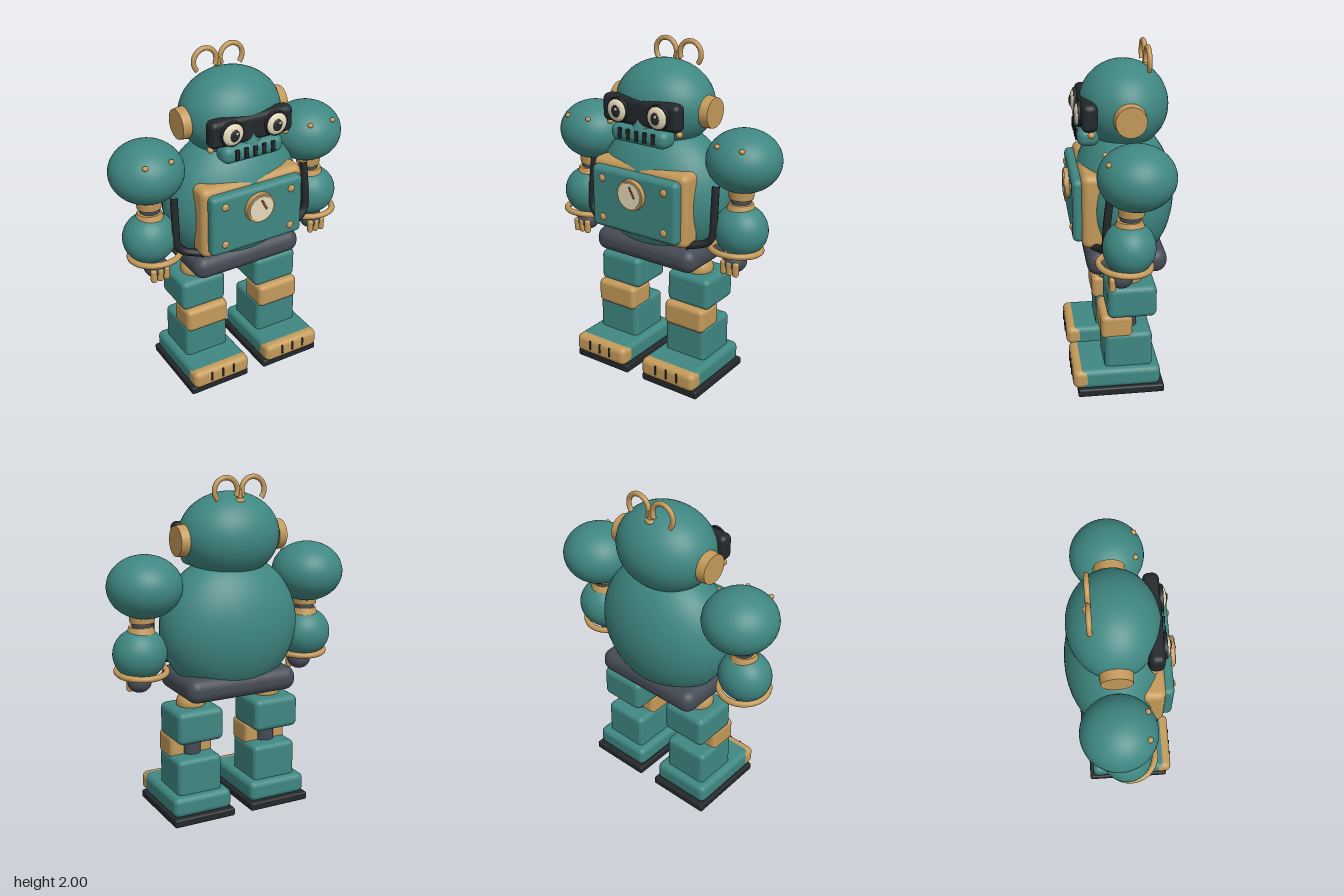
import * as THREE from 'three';
import { RoundedBoxGeometry } from 'three/addons/geometries/RoundedBoxGeometry.js';

const mat = (color) => new THREE.MeshStandardMaterial({ color });
const teal = mat(0x3f8782), tan = mat(0xc49a5a), slate = mat(0x454b55);
const black = mat(0x24282b), cream = mat(0xe6dabb), red = mat(0x8a4a35);

export function createModel() {
  const model = new THREE.Group();

  const add = (name, geometry, material, x, y, z, parent = model) => {
    const mesh = new THREE.Mesh(geometry, material);
    mesh.name = name;
    mesh.position.set(x, y, z);
    parent.add(mesh);
    return mesh;
  };
  // rounded box given by its centre and size
  const box = (name, m, x, y, z, w, h, d, r, parent) =>
    add(name, new RoundedBoxGeometry(w, h, d, 4, r), m, x, y, z, parent);
  const ball = (name, m, x, y, z, rx, ry, rz, parent) => {
    const mesh = add(name, new THREE.SphereGeometry(1, 40, 28), m, x, y, z, parent);
    mesh.scale.set(rx, ry, rz);
    return mesh;
  };
  const cylinder = (name, m, x, y, z, rTop, rBottom, h, parent) =>
    add(name, new THREE.CylinderGeometry(rTop, rBottom, h, 32), m, x, y, z, parent);
  // disc facing the front
  const disc = (name, m, x, y, z, r, depth, parent) => {
    const mesh = cylinder(name, m, x, y, z, r * 0.94, r, depth, parent);
    mesh.rotation.x = Math.PI / 2;
    return mesh;
  };

  // Torso and waist
  ball('torso', teal, 0, 1.13, -0.03, 0.425, 0.415, 0.292);
  box('waist', slate, 0, 0.803, -0.02, 0.7, 0.145, 0.46, 0.065);

  // Chest panel with gauge
  const panel = new THREE.Group();
  panel.name = 'chestPanel';
  model.add(panel);
  box('panelFrame', tan, 0, 1.118, 0.165, 0.655, 0.435, 0.14, 0.04, panel);
  box('panelPlate', teal, 0, 1.118, 0.235, 0.595, 0.37, 0.1, 0.03, panel);
  disc('gaugeRim', tan, 0, 1.183, 0.29, 0.093, 0.04, panel);
  disc('gaugeFace', cream, 0, 1.183, 0.298, 0.08, 0.034, panel);
  const needle = box('gaugeNeedle', red, 0.018, 1.205, 0.316, 0.012, 0.072, 0.006, 0.002, panel);
  needle.rotation.z = 0.5;
  for (const x of [-0.215, 0.215])
    for (const y of [1.0, 1.238]) ball('panelBolt', tan, x, y, 0.285, 0.022, 0.022, 0.012, panel);

  // Head and face
  const head = new THREE.Group();
  head.name = 'head';
  model.add(head);
  ball('skull', teal, 0, 1.652, -0.036, 0.3, 0.248, 0.253, head);
  box('visor', black, 0, 1.637, 0.178, 0.52, 0.158, 0.09, 0.035, head);
  const nose = add('nose', new THREE.ConeGeometry(0.075, 0.13, 4), teal, 0, 1.605, 0.2, head);
  nose.scale.z = 0.65;
  box('mouthGuard', teal, 0, 1.508, 0.18, 0.385, 0.105, 0.125, 0.045, head);
  for (let i = -2; i <= 2; i++)
    box('mouthSlot', black, i * 0.057, 1.513, 0.241, 0.025, 0.062, 0.014, 0.004, head);

  for (const s of [-1, 1]) {
    disc('eyeRim', black, s * 0.138, 1.638, 0.228, 0.074, 0.02, head);
    ball('eye', cream, s * 0.138, 1.638, 0.232, 0.065, 0.065, 0.024, head);
    ball('pupil', black, s * 0.135, 1.636, 0.25, 0.03, 0.036, 0.012, head);
    ball('eyeHighlight', cream, s * 0.135 + 0.008, 1.65, 0.261, 0.008, 0.008, 0.004, head);
    ball('cheekBolt', tan, s * 0.24, 1.545, 0.17, 0.018, 0.018, 0.02, head);
    const ear = cylinder('ear', tan, s * 0.31, 1.637, -0.037, 0.086, 0.092, 0.052, head);
    ear.rotation.z = -s * Math.PI / 2;
    // Open loop of the wind-up key
    const loop = add('keyLoop', new THREE.TorusGeometry(0.071, 0.0145, 12, 36, 4.4), tan,
      s * 0.084, 1.914, -0.16, head);
    loop.rotation.z = s > 0 ? -0.75 : Math.PI + 0.75 - 4.4;
  }
  cylinder('keyStem', tan, 0, 1.87, -0.16, 0.014, 0.018, 0.1, head);
  ball('keyKnob', tan, 0, 1.855, -0.162, 0.03, 0.018, 0.026, head);

  for (const s of [-1, 1]) {
    // Arm
    const arm = new THREE.Group();
    arm.name = s > 0 ? 'leftArm' : 'rightArm';
    model.add(arm);
    ball('shoulder', teal, s * 0.527, 1.4, -0.04, 0.213, 0.178, 0.213, arm);
    for (const x of [0.45, 0.605]) ball('shoulderBolt', tan, s * x, 1.505, 0.118, 0.016, 0.014, 0.016, arm);
    cylinder('upperCuff', tan, s * 0.535, 1.225, -0.01, 0.075, 0.07, 0.06, arm);
    cylinder('elbow', slate, s * 0.535, 1.185, -0.005, 0.058, 0.058, 0.09, arm);
    cylinder('lowerCuff', tan, s * 0.54, 1.145, 0, 0.068, 0.085, 0.05, arm);
    ball('forearm', teal, s * 0.547, 1.01, 0.003, 0.157, 0.15, 0.146, arm);
    const ring = add('wristRing', new THREE.TorusGeometry(0.143, 0.018, 12, 48), tan,
      s * 0.53, 0.9, 0.025, arm);
    ring.rotation.x = Math.PI / 2 - 0.08;
    ball('palm', slate, s * 0.537, 0.83, 0.045, 0.07, 0.062, 0.068, arm);
    for (const i of [-1, 0, 1])
      box('finger', tan, s * 0.537 + i * 0.04, 0.805, 0.098, 0.036, 0.085, 0.036, 0.015, arm);

    // Side brace beside the panel
    const path = new THREE.CatmullRomCurve3([
      [0.43, 1.27, 0.09], [0.435, 1.1, 0.11], [0.43, 0.97, 0.12], [0.4, 0.935, 0.13], [0.29, 0.905, 0.17],
    ].map(([x, y, z]) => new THREE.Vector3(s * x, y, z)));
    add('sideBrace', new THREE.TubeGeometry(path, 32, 0.022, 10), black, 0, 0, 0);

    // Leg
    const leg = new THREE.Group();
    leg.name = s > 0 ? 'leftLeg' : 'rightLeg';
    leg.position.x = s * 0.25;
    model.add(leg);
    ball('hip', tan, 0, 0.69, -0.03, 0.085, 0.075, 0.085, leg);
    box('thigh', teal, 0, 0.577, -0.042, 0.288, 0.197, 0.285, 0.035, leg);
    cylinder('kneeJoint', slate, 0, 0.43, -0.025, 0.058, 0.058, 0.15, leg);
    box('kneeGuard', tan, 0, 0.42, 0.048, 0.272, 0.15, 0.185, 0.03, leg);
    box('shin', teal, 0, 0.26, -0.02, 0.28, 0.235, 0.28, 0.03, leg);
    box('foot', teal, 0, 0.106, 0.04, 0.37, 0.122, 0.49, 0.035, leg);
    box('toeCap', tan, 0, 0.108, 0.255, 0.372, 0.116, 0.11, 0.035, leg);
    for (const i of [-1, 0, 1]) box('toeSlot', black, i * 0.075, 0.118, 0.309, 0.012, 0.06, 0.012, 0.003, leg);
    box('sole', black, 0, 0.025, 0.028, 0.39, 0.05, 0.508, 0.012, leg);
  }
  return model;
}
